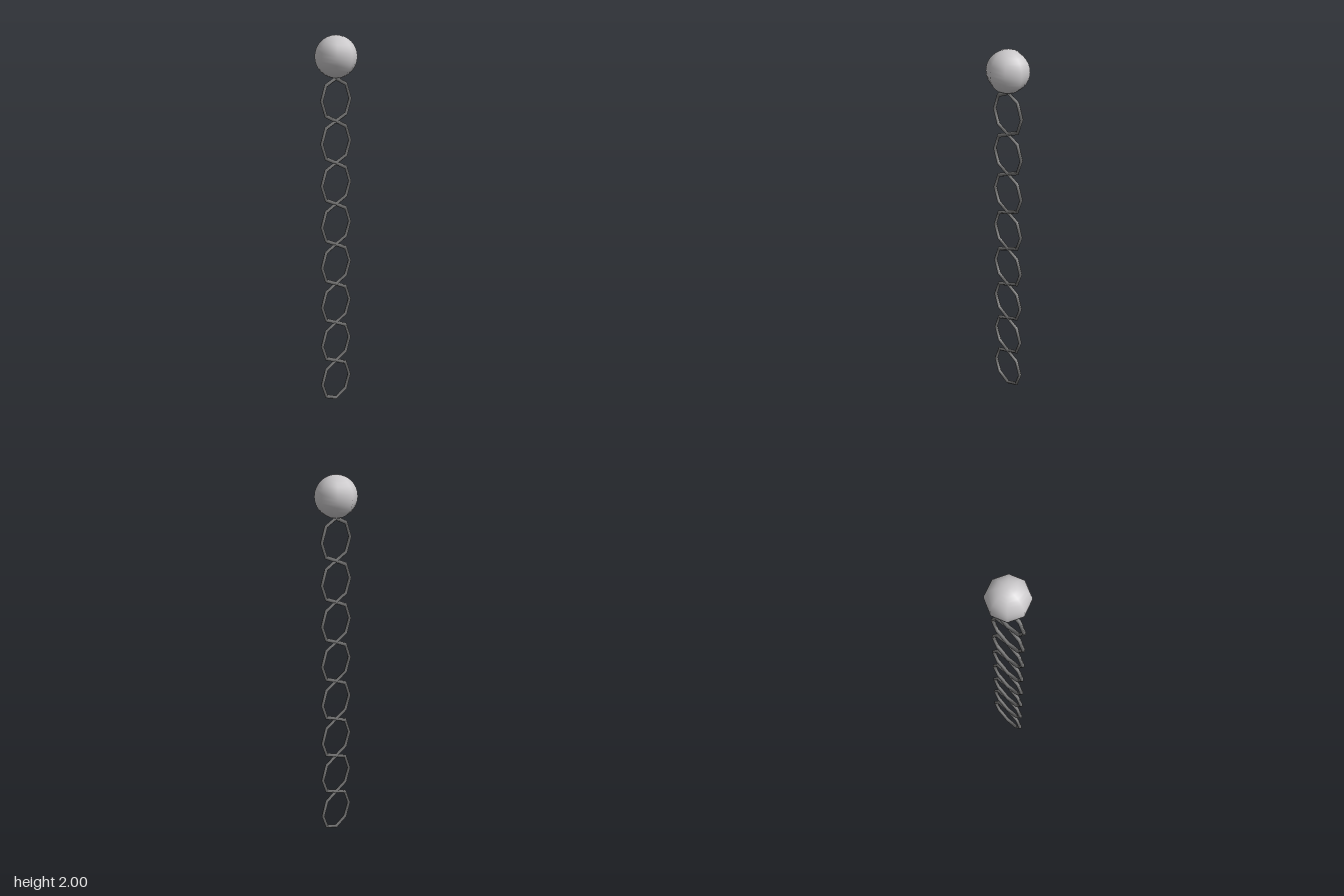
import * as THREE from 'three';

const R = 0.1105;      // ball radius and link ring radius
const TUBE = 0.011;    // link thickness
const LINKS = 8;

export function createModel() {
  const model = new THREE.Group();
  model.name = 'chainWithBall';

  const ballGrey = new THREE.MeshStandardMaterial({ color: 0xcac8ca });
  ballGrey.name = 'light grey';
  const linkGrey = new THREE.MeshStandardMaterial({ color: 0x747474 });
  linkGrey.name = 'dark grey';

  // Ball at the top, eight sides around
  const ball = new THREE.Mesh(new THREE.SphereGeometry(R, 8, 16), ballGrey);
  ball.name = 'ball';
  ball.position.y = 2 - R;
  model.add(ball);

  // Eight-sided links hanging in one plane below it
  const linkGeometry = new THREE.TorusGeometry(R, TUBE, 4, 8);
  linkGeometry.rotateY(Math.PI / 2);
  const chain = new THREE.Group();
  chain.name = 'chain';
  for (let i = 1; i <= LINKS; i++) {
    const link = new THREE.Mesh(linkGeometry, linkGrey);
    link.name = `link${i}`;
    link.position.y = ball.position.y - 2 * R * i;
    chain.add(link);
  }
  model.add(chain);

  return model;
}
